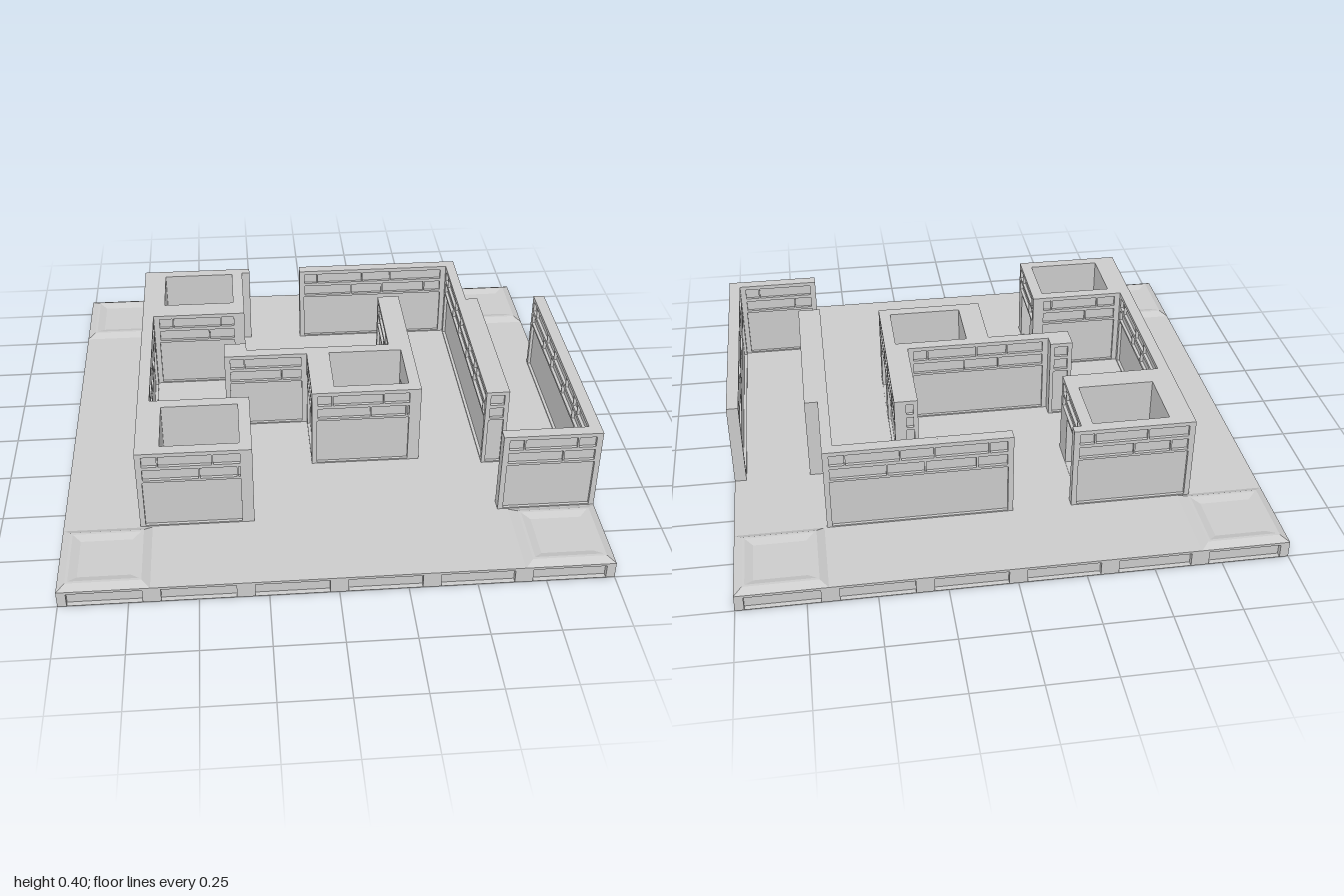
import * as THREE from 'three';

const material = new THREE.MeshStandardMaterial({ color: 0xcccccc, side: THREE.DoubleSide, flatShading: true });
const FLOOR = 0.065, TOP = 0.4;

function add(parent, name, geometry) {
  const mesh = new THREE.Mesh(geometry, material);
  mesh.name = name;
  parent.add(mesh);
  return mesh;
}

// Outlines are [x, z] pairs; front edges run towards +x so faces point outwards.
const outline = pts => new THREE.Shape(pts.map(([x, z]) => new THREE.Vector2(x, -z)));
const rect = (x0, z0, x1, z1) => [[x0, z1], [x1, z1], [x1, z0], [x0, z0]];

function flat(pts, holes, y) {
  const shape = outline(pts);
  shape.holes = holes.map(outline);
  return new THREE.ShapeGeometry(shape).rotateX(-Math.PI / 2).translate(0, y, 0);
}

function panelShape(length, y0, y1, holes) {
  const box = (a, b, c, d) => [[a, b], [c, b], [c, d], [a, d]].map(p => new THREE.Vector2(...p));
  const shape = new THREE.Shape(box(0, y0, length, y1));
  shape.holes = holes.map(h => new THREE.Path(box(...h)));
  return shape;
}

// An upright face from p to q: a frame with recesses over a backing; doors pass through both
function facade(parent, name, p, q, y0, y1, recesses, doors, depth) {
  const dx = q[0] - p[0], dz = q[1] - p[1], length = Math.hypot(dx, dz);
  const face = new THREE.Group();
  face.name = name;
  face.position.set(p[0], 0, p[1]);
  face.rotation.y = Math.atan2(-dz, dx);
  parent.add(face);
  const layer = (label, holes, thick, back) => add(face, label,
    new THREE.ExtrudeGeometry(panelShape(length, y0, y1, holes), { depth: thick, bevelEnabled: false })
      .translate(0, 0, -back));
  layer('frame', [...recesses, ...doors], depth, depth);
  const thick = doors.length ? 0.045 - depth : 0.001;
  layer('backing', doors, thick, depth + thick);
}

// Two staggered courses of bricks
function bricks(length, margin) {
  const out = [];
  const rows = [[0.28, 0.326, [0.21, 0.14, 0.19, 0.17]], [0.34, 0.384, [0.06, 0.2, 0.125, 0.2, 0.125]]];
  for (const [y0, y1, sizes] of rows) {
    const end = length - margin;
    for (let u = margin, i = 0; u < end - 0.02; i++) {
      let next = u + sizes[i % sizes.length];
      if (next > end - 0.035) next = end;
      out.push([u + 0.003, y0, next - 0.003, y1]);
      u = next;
    }
  }
  return out;
}

const DOORS = [[-0.29, 0.5], [-0.29, -0.5], [0.375, 0.165]];

function wallFace(parent, p, q) {
  const length = Math.hypot(q[0] - p[0], q[1] - p[1]);
  const outer = p[0] === 1 && q[0] === 1;
  const door = DOORS.find(([x, z]) => p[0] === x && q[0] === x && q[1] < z && z < p[1]);
  const margin = outer ? 0.03 : length < 0.15 ? 0.015 : 0.02;
  const recesses = length > 0.07 ? bricks(length, margin) : [];
  const doors = [];
  if (door) {
    const u = p[1] - door[1];
    doors.push([u - 0.1, 0.067, u + 0.1, 0.27]);
    if (length - u > 0.25) recesses.push([u + 0.17, 0.07, length - margin, 0.27]);
  } else if (outer) {
    recesses.push([margin, 0.05, length - margin, 0.27], [margin, 0.015, length - margin, 0.043]);
  } else if (length > 0.07) {
    recesses.push([margin, 0.07, length - margin, 0.27]);
  }
  facade(parent, 'wallFace', p, q, outer ? 0 : 0.06, TOP, recesses, doors, 0.012);
}

// Hollow wall run with an optional list of open tower shafts
function wallRun(root, name, pts, shafts) {
  const group = new THREE.Group();
  group.name = name;
  root.add(group);
  add(group, 'wallTop', flat(pts, shafts.map(s => rect(...s)), TOP));
  pts.forEach((p, i) => wallFace(group, p, pts[(i + 1) % pts.length]));
  for (const [x0, z0, x1, z1] of shafts) {
    const h = TOP - 0.06, y = 0.06 + h / 2;
    for (const z of [z0, z1])
      add(group, 'shaftWall', new THREE.PlaneGeometry(x1 - x0, h).translate((x0 + x1) / 2, y, z));
    add(group, 'shaftWall', new THREE.PlaneGeometry(z1 - z0, h).rotateY(Math.PI / 2).translate(x0, y, (z0 + z1) / 2));
    // Floor of the shaft and its doorway
    add(group, 'shaftFloor', flat(rect(x0, z0, x1 + 0.045, z1), [], FLOOR));
  }
}

export function createModel() {
  const root = new THREE.Group();
  root.name = 'dungeonTile';

  const leftRun = [
    [-0.715, 0.665], [-0.29, 0.665], [-0.29, 0.33], [-0.67, 0.33], [-0.67, -0.29], [-0.29, -0.29],
    [-0.29, -0.635], [-0.257, -0.635], [-0.257, -0.67], [-0.715, -0.67]];
  const centreRun = [
    [-0.05, 0.33], [0.375, 0.33], [0.375, -0.38], [0.285, -0.38], [0.285, 0], [-0.29, 0],
    [-0.29, 0.05 - 0.1], [-0.38, -0.05], [-0.38, 0.045], [-0.05, 0.045]];
  const backRun = [
    [0.62, 0.375], [0.71, 0.375], [0.71, -0.335], [0.66, -0.335], [0.66, -0.67],
    [-0.035, -0.67], [-0.035, -0.625], [0.62, -0.625]];
  const edgeRun = [
    [0.63, 0.665], [1, 0.665], [1, -0.335], [0.955, -0.335], [0.955, 0.62], [0.63, 0.62]];

  wallRun(root, 'towerWall', leftRun, [[-0.625, -0.625, -0.335, -0.38], [-0.625, 0.375, -0.335, 0.62]]);
  wallRun(root, 'centreWall', centreRun, [[0.04, 0.045, 0.335, 0.285]]);
  wallRun(root, 'backWall', backRun, []);
  wallRun(root, 'edgeWall', edgeRun, []);

  // Floor, open beneath the hollow walls
  const edgeHole = edgeRun.map(([x, z]) => [Math.min(x, 0.99), z]);
  add(root, 'floor', flat(rect(-1, -1, 1, 1), [leftRun, centreRun, backRun, edgeHole], FLOOR));

  // Rim with recessed slots
  const rims = [
    [[-1, 1], [1, 1]], [[1, 1], [1, 0.665]], [[1, -0.335], [1, -1]], [[1, -1], [-1, -1]], [[-1, -1], [-1, 1]]];
  for (const [p, q] of rims) {
    const length = Math.hypot(q[0] - p[0], q[1] - p[1]), n = Math.round(length * 3), step = length / n;
    const slots = Array.from({ length: n }, (_, i) => [i * step + 0.033, 0.001, (i + 1) * step - 0.033, 0.055]);
    facade(root, 'rim', p, q, 0, FLOOR, slots, [], 0.02);
  }

  // Raised bevelled dishes on the corners
  const profile = [[0.165, FLOOR], [0.135, 0.08], [0.125, 0.08], [0.095, 0.07], [0, 0.07]]
    .map(([r, y]) => new THREE.Vector2(r * Math.SQRT2, y));
  for (const x of [-1, 1]) for (const z of [-1, 1]) {
    const pad = add(root, 'cornerPad', new THREE.LatheGeometry(profile, 4, Math.PI / 4));
    pad.position.set(x * 0.835, 0, z * 0.835);
  }
  return root;
}
